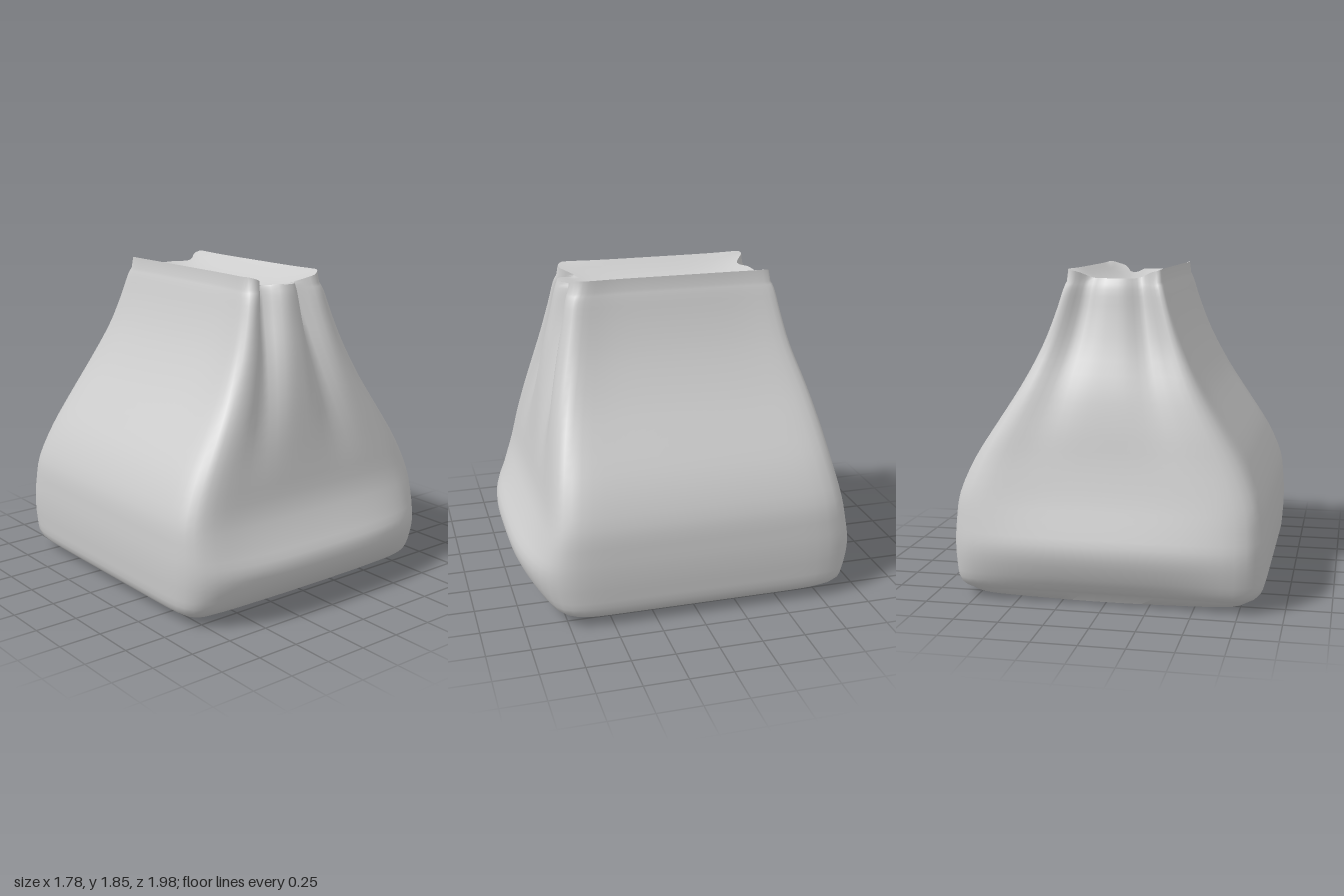
import * as THREE from 'three';
import { toCreasedNormals } from 'three/addons/utils/BufferGeometryUtils.js';

// Sack profile: y, half width, front corner z, front centre z, back corner z, back centre z
const ROWS = [
  [0.03, 0.80, 0.76, 0.72, 0.86, 0.82],
  [0.09, 0.87, 0.81, 0.86, 0.93, 0.90],
  [0.20, 0.885, 0.83, 0.96, 0.95, 0.96],
  [0.32, 0.89, 0.84, 0.99, 0.95, 0.99],
  [0.44, 0.885, 0.84, 0.92, 0.94, 0.96],
  [0.60, 0.865, 0.82, 0.84, 0.92, 0.91],
  [0.80, 0.78, 0.79, 0.80, 0.88, 0.86],
  [1.00, 0.66, 0.75, 0.77, 0.84, 0.82],
  [1.20, 0.54, 0.70, 0.74, 0.79, 0.77],
  [1.42, 0.43, 0.64, 0.70, 0.72, 0.69],
  [1.60, 0.36, 0.60, 0.66, 0.68, 0.64],
  [1.74, 0.315, 0.57, 0.63, 0.65, 0.61],
  [1.80, 0.29, 0.53, 0.61, 0.62, 0.58],
];
const PER_SIDE = 24, STEPS = 3;

const bump = (u, centre, width) => Math.exp(-(((u - centre) / width) ** 2));

// Rounded square outline with corner points softened
function outline() {
  const pts = [], n = 12;
  for (let side = 0; side < 4; side++) {
    for (let i = 0; i < PER_SIDE; i++) {
      const t = -1 + (2 * i) / PER_SIDE;
      const [a, b] = [[1, t], [-t, 1], [-1, -t], [t, -1]][side];
      const k = (Math.abs(a) ** n + Math.abs(b) ** n) ** (-1 / n);
      pts.push([a * k, b * k]);
    }
  }
  return pts;
}

// One outline point placed at a level, with gathered folds growing toward the top
function place([u, v], [y, w, fc, fm, bc, bm]) {
  const gather = THREE.MathUtils.smoothstep(y, 0.7, 1.8);
  const middle = 1 - Math.abs(u) ** 3;
  let depth;
  if (v > 0) {
    depth = fc + (fm - fc) * middle;
    depth -= gather * (0.12 * bump(u, -0.46, 0.17) + 0.13 * bump(u, 0.36, 0.16));
  } else {
    depth = bc + (bm - bc) * middle;
    depth -= gather * 0.05 * (bump(u, -0.5, 0.2) + bump(u, 0.5, 0.2));
  }
  const panel = 1 - 0.13 * gather * (1 - Math.abs(v) ** 6);
  return [u * w * panel, y, v * depth];
}

// Hollow top between two raised side ridges
const topY = (x, z) =>
  1.74 + 0.11 * Math.min(1, Math.abs(x) / 0.25) ** 2 * (1 - 0.6 * Math.min(1, Math.abs(z) / 0.6) ** 4)
  + 0.06 * Math.min(1, Math.abs(z) / 0.58) ** 4;

// Slightly sagging underside
const bottomY = (x, z) =>
  0.03 - 0.03 * Math.min(1, Math.max(0, -z) / 0.82) ** 2 * Math.max(0, 1 - (x / 0.8) ** 2);

function sackGeometry() {
  const shape = outline();
  const spline = new THREE.CubicInterpolant(ROWS.map((_, i) => i), ROWS.flat(), 6);
  const last = ROWS.length - 1;
  const rings = [];

  // Underside, from the centre outward
  for (const s of [0.01, 0.4, 0.75, 0.95]) {
    rings.push(shape.map((p) => {
      const [x, , z] = place(p, ROWS[0]);
      return [x * s, bottomY(x * s, z * s), z * s];
    }));
  }
  // Walls
  for (let j = 0; j <= last * STEPS; j++) {
    const row = Array.from(spline.evaluate(j / STEPS));
    rings.push(shape.map((p) => {
      const q = place(p, row);
      if (j === 0) q[1] = bottomY(q[0], q[2]);
      if (j === last * STEPS) q[1] = topY(q[0], q[2]);
      return q;
    }));
  }
  // Top, from the rim inward
  for (const s of [0.92, 0.8, 0.6, 0.4, 0.2, 0.01]) {
    rings.push(shape.map((p) => {
      const [x, , z] = place(p, ROWS[last]);
      return [x * s, topY(x * s, z * s), z * s];
    }));
  }

  const count = shape.length, index = [];
  for (let j = 0; j < rings.length - 1; j++) {
    for (let i = 0; i < count; i++) {
      const a = j * count + i, b = j * count + ((i + 1) % count);
      index.push(a, a + count, b, b, a + count, b + count);
    }
  }
  const geometry = new THREE.BufferGeometry();
  geometry.setAttribute('position', new THREE.Float32BufferAttribute(rings.flat(2), 3));
  geometry.setIndex(index);
  return toCreasedNormals(geometry, 1.1);
}

export function createModel() {
  const group = new THREE.Group();
  group.name = 'sack';
  const body = new THREE.Mesh(
    sackGeometry(),
    new THREE.MeshStandardMaterial({ color: 0xcccccc, roughness: 0.8 }),
  );
  body.name = 'sackBody';
  group.add(body);
  return group;
}
